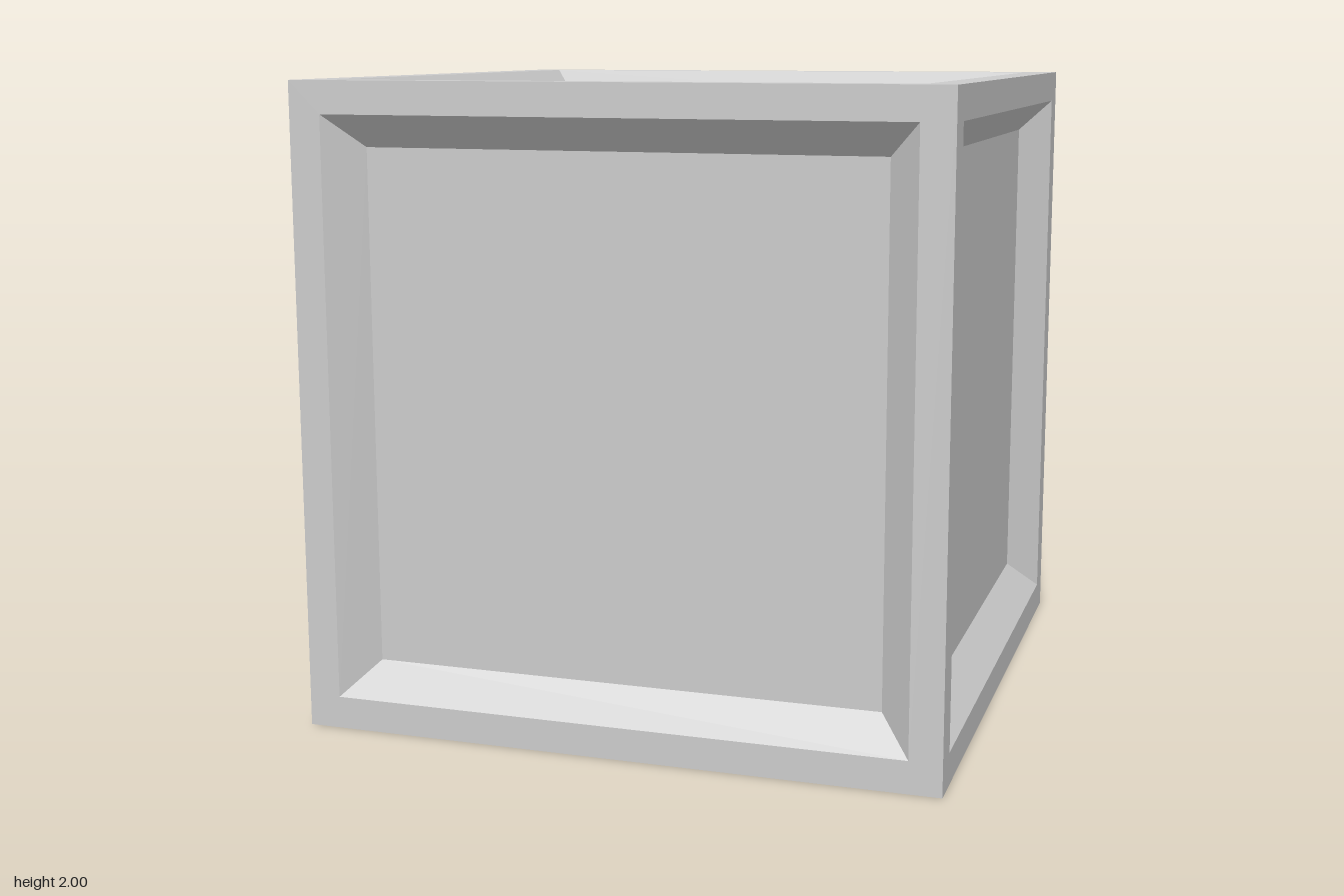
import * as THREE from 'three';

const material = new THREE.MeshStandardMaterial({ color: 0xcccccc, flatShading: true });

// Square ring between two [half width, height] steps, listed from outside to inside
function squareRing(name, outer, inner) {
  const points = [outer, inner].map(([half, y]) => new THREE.Vector2(half * Math.SQRT2, y));
  const geometry = new THREE.LatheGeometry(points, 4, Math.PI / 4).toNonIndexed();
  geometry.computeVertexNormals();
  const mesh = new THREE.Mesh(geometry, material);
  mesh.name = name;
  return mesh;
}

// One side of the cube, facing +y: flat rim, sloped bevel and recessed panel
function createSide(name, rotX, rotZ) {
  const side = new THREE.Group();
  side.name = name;
  const panel = new THREE.Mesh(new THREE.PlaneGeometry(1.6, 1.6).rotateX(-Math.PI / 2), material);
  panel.name = 'panel';
  panel.position.y = 0.9;
  side.add(
    squareRing('rim', [1, 1], [0.9, 1]),
    squareRing('bevel', [0.9, 1], [0.8, 0.9]),
    panel
  );
  side.rotation.set(rotX, 0, rotZ);
  side.position.y = 1;
  return side;
}

export function createModel() {
  const model = new THREE.Group();
  model.name = 'panelledCube';
  const quarter = Math.PI / 2;
  const sides = [
    ['topSide', 0, 0],
    ['bottomSide', Math.PI, 0],
    ['frontSide', quarter, 0],
    ['backSide', -quarter, 0],
    ['leftSide', 0, -quarter],
    ['rightSide', 0, quarter],
  ];
  for (const [name, rotX, rotZ] of sides) model.add(createSide(name, rotX, rotZ));
  return model;
}
